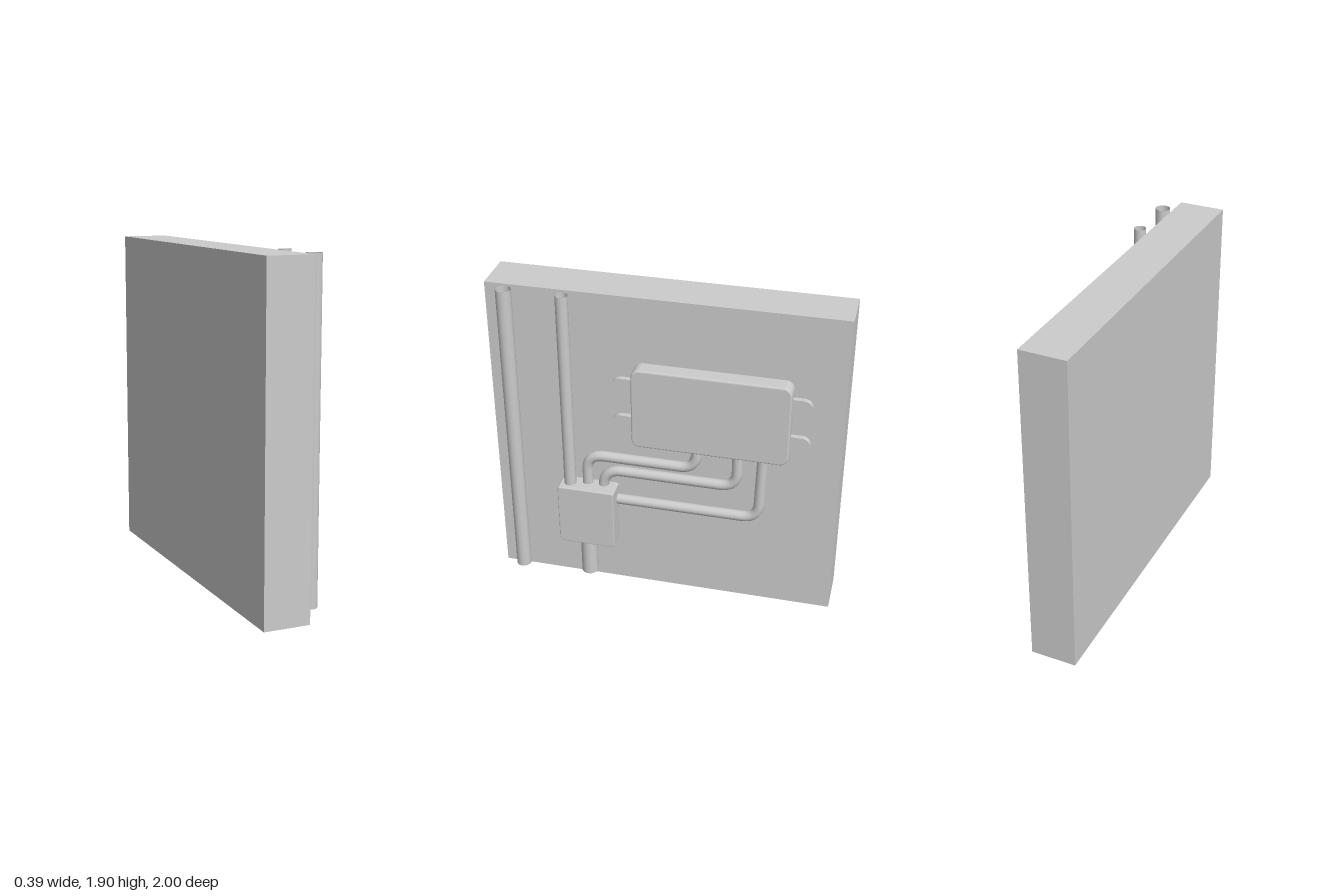
import * as THREE from 'three';

const grey = new THREE.MeshStandardMaterial({ color: 0xcccccc, side: THREE.DoubleSide });

export function createModel() {
  const model = new THREE.Group();
  const add = (name, geometry) => {
    const mesh = new THREE.Mesh(geometry, grey);
    mesh.name = name;
    model.add(mesh);
    return mesh;
  };

  // Wall slab, open underneath (faces are ordered +x -x +y -y +z -z)
  const slab = new THREE.BoxGeometry(0.265, 1.9, 2);
  const index = Array.from(slab.index.array);
  index.splice(18, 6);
  slab.setIndex(index);
  slab.clearGroups();
  add('wall', slab).position.set(-0.0675, 0.95, 0);

  // Rounded plate standing on the wall, from x0 to x1, with a bevelled rim
  const plate = (name, z0, z1, y0, y1, x0, x1, radius, bevel) => {
    const a = -z1 + bevel, b = -z0 - bevel, c = y0 + bevel, d = y1 - bevel;
    const r = Math.max(radius - bevel, 0.001);
    const s = new THREE.Shape();
    s.absarc(b - r, c + r, r, -Math.PI / 2, 0);
    s.absarc(b - r, d - r, r, 0, Math.PI / 2);
    s.absarc(a + r, d - r, r, Math.PI / 2, Math.PI);
    s.absarc(a + r, c + r, r, Math.PI, Math.PI * 1.5);
    s.closePath();
    const g = new THREE.ExtrudeGeometry(s, {
      depth: x1 - x0 - 2 * bevel, curveSegments: 6, bevelEnabled: bevel > 0,
      bevelSize: bevel, bevelThickness: bevel, bevelSegments: 3,
    });
    g.rotateY(Math.PI / 2).translate(x0 + bevel, 0, 0);
    return add(name, g);
  };
  plate('meterBox', -0.72, 0.165, 1.025, 1.515, 0.065, 0.165, 0.05, 0.01);
  plate('junctionBox', 0.27, 0.605, 0.31, 0.695, 0.065, 0.195, 0.012, 0.006);

  // Round-ended mounting tabs on both sides of the meter box
  for (const y of [1.15, 1.385]) {
    plate('mountingTabFront', 0.1, 0.28, y - 0.05, y + 0.05, 0.105, 0.135, 0.05, 0);
    plate('mountingTabBack', -0.83, -0.65, y - 0.05, y + 0.05, 0.105, 0.135, 0.05, 0);
  }

  // Straight upright pipes with open ends
  const pipe = (name, z, r, y0, y1) =>
    add(name, new THREE.CylinderGeometry(r, r, y1 - y0, 16, 1, true)).position.set(0.128, (y0 + y1) / 2, z);
  pipe('tallPipe', 0.87, 0.043, 0.045, 1.9);
  pipe('supplyPipe', 0.545, 0.035, 0.66, 1.9);
  pipe('outletPipe', 0.445, 0.049, 0.07, 0.33);

  // Bent conduits: straight runs through [z, y] corners, rounded by a bend
  const conduit = (corners, bend) => {
    const p = corners.map(([z, y]) => new THREE.Vector3(0.097, y, z));
    const path = new THREE.CurvePath();
    let from = p[0];
    for (let i = 1; i < p.length - 1; i++) {
      const toward = (q) => p[i].clone().add(q.clone().sub(p[i]).setLength(bend));
      const start = toward(p[i - 1]), end = toward(p[i + 1]);
      path.add(new THREE.LineCurve3(from, start));
      path.add(new THREE.QuadraticBezierCurve3(start, p[i], end));
      from = end;
    }
    path.add(new THREE.LineCurve3(from, p[p.length - 1]));
    add('conduit', new THREE.TubeGeometry(path, 72, 0.031, 12));
  };
  conduit([[0.447, 0.6], [0.445, 0.887], [-0.195, 0.887], [-0.195, 1.05]], 0.1);
  conduit([[0.36, 0.6], [0.34, 0.8], [-0.43, 0.8], [-0.43, 1.05]], 0.1);
  conduit([[0.35, 0.603], [-0.56, 0.603], [-0.572, 1.05]], 0.1);

  return model;
}
